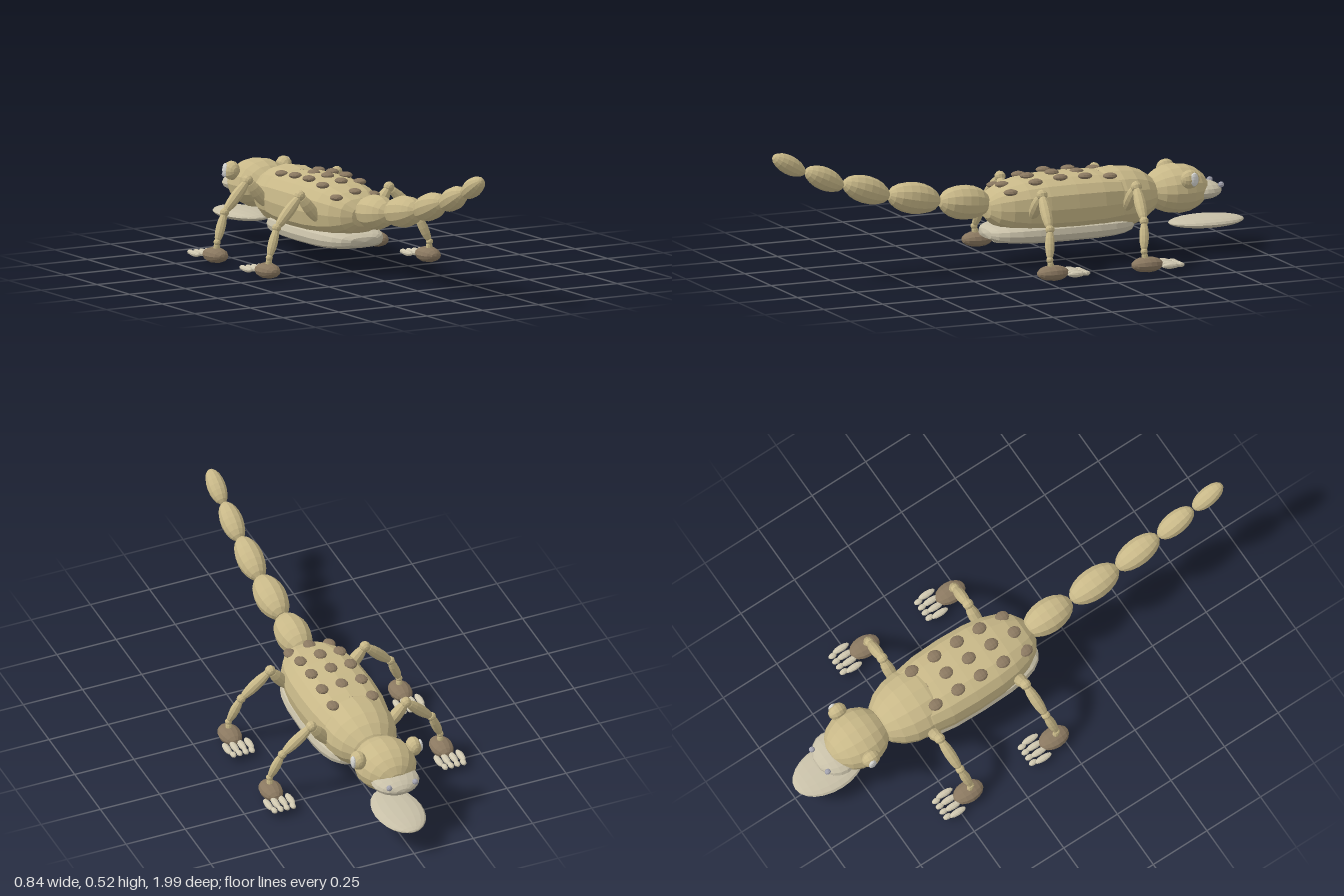
import * as THREE from 'three';

const mat = (name, color) => Object.assign(new THREE.MeshStandardMaterial({ color, flatShading: true }), { name });

export function createModel() {
  const root = new THREE.Group();
  root.name = 'lizard';
  const skin = mat('sandy skin', 0xc8b888);
  const pale = mat('pale underside', 0xc8c0a8);
  const brown = mat('brown scales', 0x8a7860);
  const toeColor = mat('pale toes', 0xd0c8b0);
  const eyeColor = mat('eye white', 0xd8d8d4);
  const nostrilColor = mat('grey nostril', 0xa4a4b0);

  // Ellipsoid with its poles along z; power below 1 makes it boxier
  function blob(name, material, pos, radii, { w = 12, h = 8, power = 1, parent = root } = {}) {
    const geo = new THREE.SphereGeometry(1, w, h).rotateX(Math.PI / 2);
    if (power !== 1) {
      const p = geo.attributes.position;
      const bend = (v) => Math.sign(v) * Math.abs(v) ** power;
      for (let i = 0; i < p.count; i++) {
        const x = p.getX(i), y = p.getY(i), c = Math.hypot(x, y);
        const k = c > 1e-6 ? c ** power / c ** power : 0;
        p.setXYZ(i, bend(x) * k, bend(y) * k, bend(p.getZ(i)));
      }
    }
    geo.scale(...radii);
    geo.computeVertexNormals();
    const mesh = new THREE.Mesh(geo, material);
    mesh.name = name;
    mesh.position.set(...pos);
    parent.add(mesh);
    return mesh;
  }

  // Ellipsoid stretched between two points
  function limb(name, a, b, r, parent) {
    const va = new THREE.Vector3(...a), vb = new THREE.Vector3(...b);
    const mid = va.clone().add(vb).multiplyScalar(0.5);
    const m = blob(name, skin, mid.toArray(), [r, r, va.distanceTo(vb) / 2 + 0.004], { w: 10, parent });
    m.quaternion.setFromUnitVectors(new THREE.Vector3(0, 0, 1), vb.sub(va).normalize());
  }

  // Trunk
  blob('body', skin, [0, 0.235, -0.24], [0.16, 0.117, 0.34], { w: 16, h: 12, power: 0.8 });
  blob('belly', pale, [0, 0.135, -0.21], [0.147, 0.042, 0.31], { w: 16, h: 12, power: 0.65 });
  blob('chest', skin, [0, 0.235, -0.455], [0.145, 0.122, 0.18], { w: 16, h: 10 });

  // Head, snout and lower jaw
  blob('head', skin, [0, 0.246, -0.715], [0.122, 0.097, 0.13], { w: 16, h: 10 });
  blob('snout', pale, [0, 0.233, -0.815], [0.096, 0.038, 0.087], { w: 16, h: 10 });
  blob('lowerJaw', pale, [0, 0.107, -0.845], [0.097, 0.023, 0.155], { w: 16, h: 12 });

  // Back scales: three columns of five
  const ridge = [0.335, 0.348, 0.353, 0.348, 0.322];
  const flank = [0.336, 0.345, 0.348, 0.338, 0.305];
  for (let i = 0; i < 5; i++) {
    for (const s of [-1, 0, 1]) {
      const y = s ? flank[i] : ridge[i];
      blob('backScale', brown, [s * 0.083, y, -0.4 + i * 0.105], [0.025, 0.013, 0.029], { w: 10, h: 6 });
    }
  }

  // Tail: [y, z, radius, half length, upward tilt in degrees]
  const tail = [
    [0.265, 0.18, 0.069, 0.108, 6],
    [0.3, 0.395, 0.063, 0.112, 11],
    [0.35, 0.597, 0.054, 0.103, 20],
    [0.408, 0.775, 0.045, 0.088, 26],
    [0.475, 0.925, 0.037, 0.077, 30],
  ];
  for (const [y, z, r, len, tilt] of tail) {
    blob('tailSegment', skin, [0, y, z], [r, r, len], { w: 12, h: 10 })
      .rotation.x = -THREE.MathUtils.degToRad(tilt);
  }

  for (const s of [-1, 1]) {
    // Eyes and nostrils
    blob('eyeSocket', skin, [s * 0.117, 0.302, -0.725], [0.031, 0.038, 0.038]);
    blob('eye', eyeColor, [s * 0.141, 0.304, -0.733], [0.01, 0.028, 0.017]);
    blob('nostril', nostrilColor, [s * 0.055, 0.256, -0.885], [0.012, 0.012, 0.012], { w: 8, h: 6 });

    // Two legs on each side
    for (const [name, z] of [['hindLeg', 0], ['frontLeg', -0.4]]) {
      const leg = new THREE.Group();
      leg.name = name;
      leg.position.z = z;
      root.add(leg);
      const hip = [s * 0.12, 0.205, -0.05], knee = [s * 0.2, 0.31, -0.06];
      const shin = [s * 0.315, 0.197, -0.042], ankle = [s * 0.36, 0.087, -0.022];
      const opt = { w: 10, h: 6, parent: leg };
      limb('upperLeg', hip, knee, 0.025, leg);
      limb('middleLeg', knee, shin, 0.023, leg);
      limb('lowerLeg', shin, ankle, 0.019, leg);
      limb('ankleStem', ankle, [s * 0.36, 0.04, -0.03], 0.013, leg);
      blob('kneeJoint', skin, knee, [0.022, 0.022, 0.022], opt);
      blob('shinJoint', skin, shin, [0.018, 0.018, 0.018], opt);
      blob('ankleJoint', skin, ankle, [0.014, 0.014, 0.014], opt);
      blob('foot', brown, [s * 0.36, 0.035, -0.035], [0.045, 0.031, 0.065], { w: 12, h: 8, parent: leg });
      // Four toes with rounded tips
      for (const t of [-1.5, -0.5, 0.5, 1.5]) {
        blob('toe', toeColor, [s * 0.36 + t * 0.031, 0.032, -0.115], [0.014, 0.012, 0.038], opt);
        blob('toeTip', toeColor, [s * 0.36 + t * 0.026, 0.031, -0.158], [0.012, 0.01, 0.018], opt);
      }
    }
  }
  return root;
}
